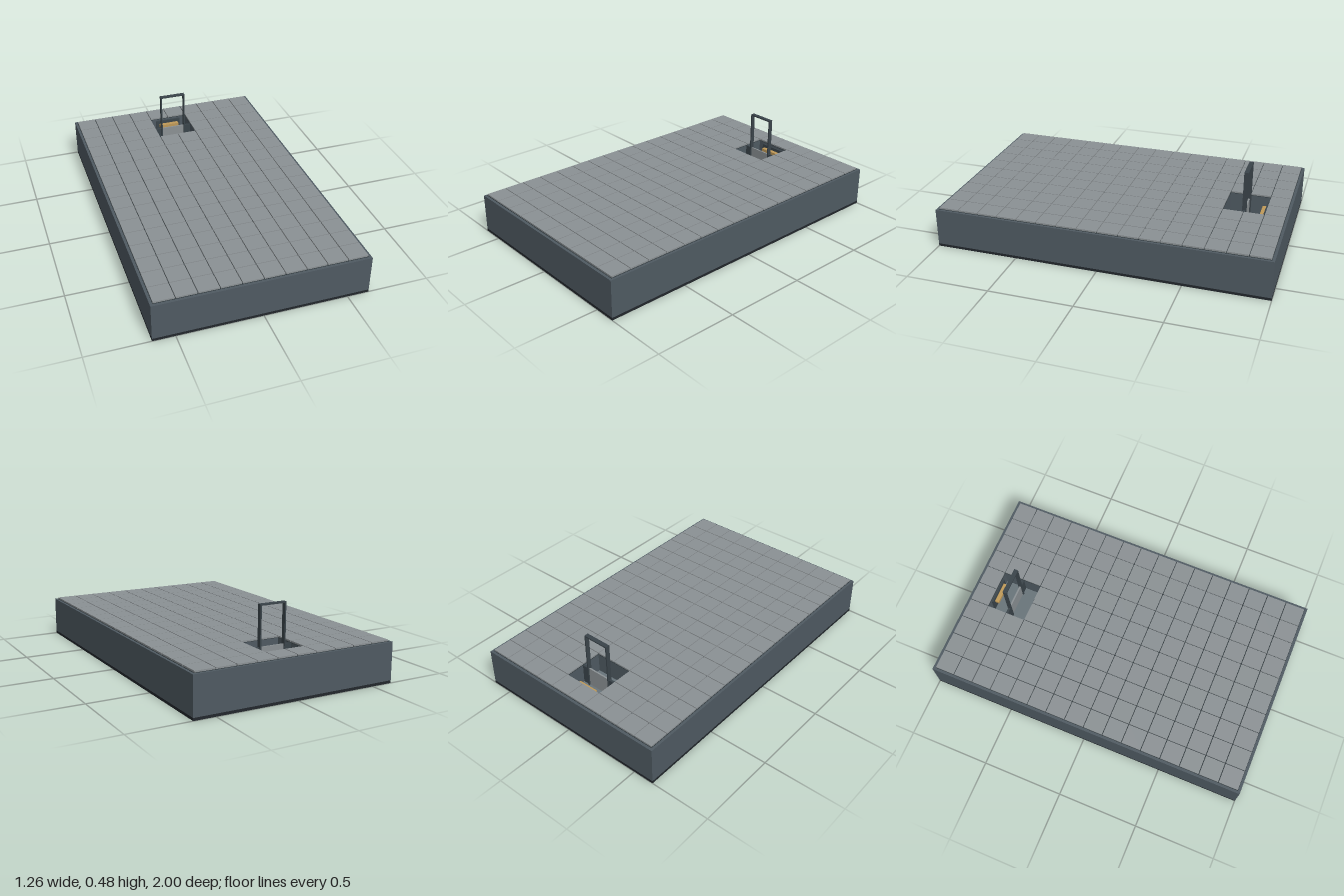
import * as THREE from 'three';

const mat = (color) => new THREE.MeshStandardMaterial({ color });
const HULL = mat(0x4f5a62), BASE = mat(0x22272c), BED = mat(0x2f383c);
const TILE = mat(0x8b9194), PIT = mat(0x68747a), FRAME = mat(0x3a444a), LAMP = mat(0xc09a58);

const STEP = 0.123, COLS = 10, ROWS = 16;
const W = 1.26, D = 2, PIT_Z = -6 * STEP, PIT_FLOOR = 0.12;

export function createModel() {
  const model = new THREE.Group();
  const box = (name, material, w, h, d, x, y, z, parent = model) => {
    const mesh = new THREE.Mesh(new THREE.BoxGeometry(w, h, d), material);
    mesh.name = name;
    mesh.position.set(x, y, z);
    parent.add(mesh);
    return mesh;
  };

  // Flat slab with the square hatch opening cut through it
  const slab = (name, material, w, d, y0, y1) => {
    const shape = new THREE.Shape();
    shape.moveTo(-w / 2, -d / 2).lineTo(w / 2, -d / 2).lineTo(w / 2, d / 2).lineTo(-w / 2, d / 2).closePath();
    const hole = new THREE.Path();
    const z = -PIT_Z;
    hole.moveTo(-STEP, z - STEP).lineTo(-STEP, z + STEP).lineTo(STEP, z + STEP).lineTo(STEP, z - STEP).closePath();
    shape.holes.push(hole);
    const geometry = new THREE.ExtrudeGeometry(shape, { depth: y1 - y0, bevelEnabled: false });
    geometry.rotateX(-Math.PI / 2).translate(0, y0, 0);
    const mesh = new THREE.Mesh(geometry, material);
    mesh.name = name;
    model.add(mesh);
  };

  // Hull, dark skid plate and seam bed
  box('basePlate', BASE, W, 0.016, D, 0, 0.008, 0);
  slab('hull', HULL, W, D, 0.016, 0.24);
  slab('tileBed', BED, COLS * STEP, ROWS * STEP, 0.24, 0.242);

  // Deck tiles, leaving out the two by two hatch
  const tiles = new THREE.Group();
  tiles.name = 'deckTiles';
  model.add(tiles);
  for (let i = 0; i < COLS; i++) {
    for (let j = 0; j < ROWS; j++) {
      const x = (i - (COLS - 1) / 2) * STEP, z = (j - (ROWS - 1) / 2) * STEP;
      if (Math.abs(x) < STEP && Math.abs(z - PIT_Z) < STEP) continue;
      box('deckTile', TILE, STEP - 0.005, 0.01, STEP - 0.005, x, 0.246, z, tiles);
    }
  }

  // Recessed hatch floor
  box('hatchFloor', PIT, 2 * STEP, PIT_FLOOR - 0.016, 2 * STEP, 0, (PIT_FLOOR + 0.016) / 2, PIT_Z);

  // Doorway frame rising out of the hatch
  const door = new THREE.Group();
  door.name = 'doorway';
  model.add(door);
  const zDoor = -0.735;
  for (const s of [-1, 1]) {
    box('doorPost', FRAME, 0.008, 0.48 - PIT_FLOOR, 0.026, s * 0.079, (0.48 + PIT_FLOOR) / 2, zDoor, door);
    box('sideWall', FRAME, 0.04, 0.24 - PIT_FLOOR, 0.014, s * 0.103, (0.24 + PIT_FLOOR) / 2, zDoor, door);
  }
  box('lintel', FRAME, 0.166, 0.008, 0.026, 0, 0.476, zDoor, door);
  box('doorPanel', TILE, 0.15, 0.24 - PIT_FLOOR, 0.01, 0, (0.24 + PIT_FLOOR) / 2, zDoor, door);

  // Rear wall panel with its lamp
  box('rearPanel', FRAME, 0.166, 0.11, 0.012, 0, 0.175, -0.855);
  box('lamp', LAMP, 0.13, 0.02, 0.026, 0, 0.2, -0.836);

  return model;
}
